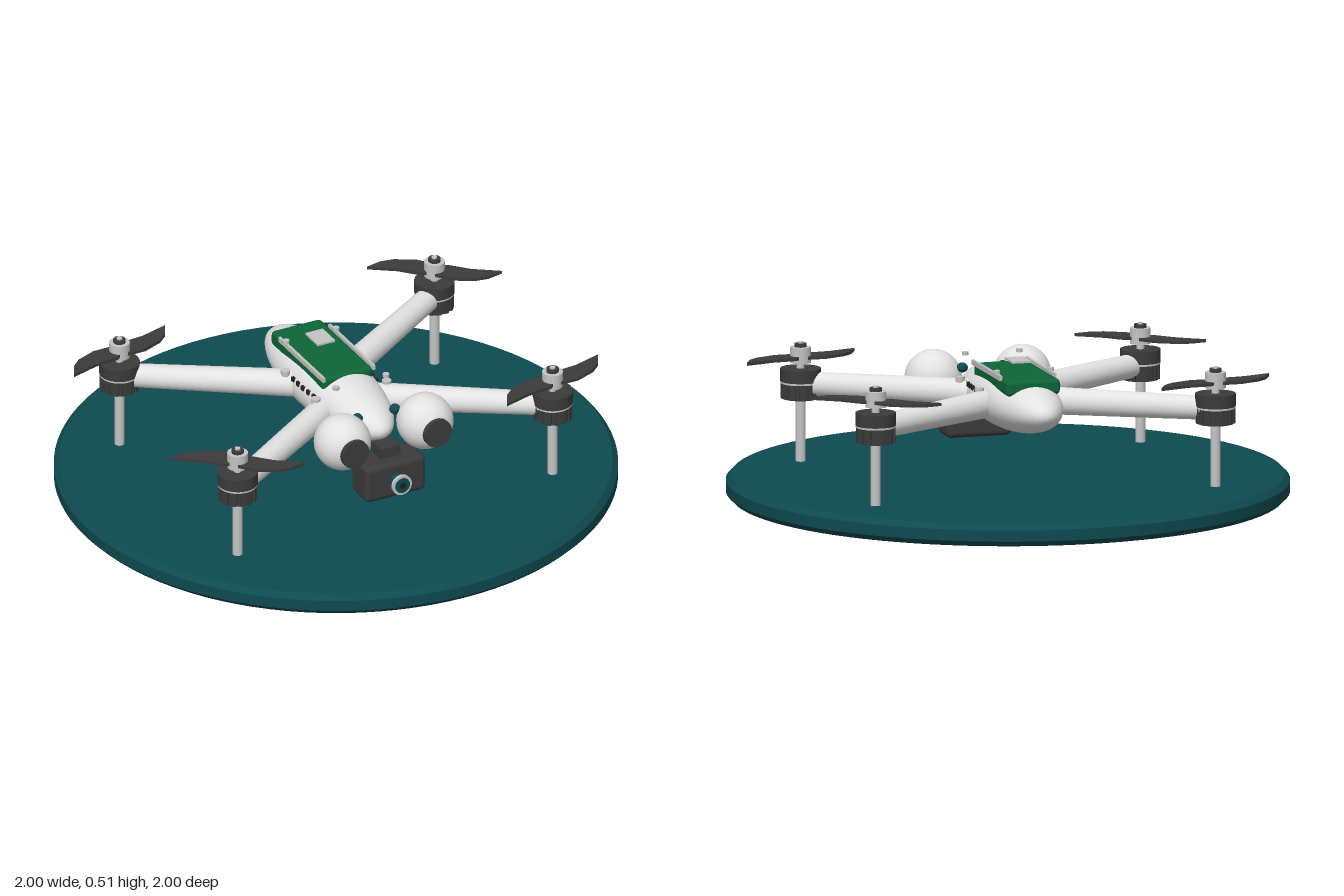
import * as THREE from 'three';
import { RoundedBoxGeometry } from 'three/addons/geometries/RoundedBoxGeometry.js';

const mat = (name, color) => {
  const m = new THREE.MeshStandardMaterial({ color });
  m.name = name;
  return m;
};

export function createModel() {
  const white = mat('shell white', 0xe2e2e2);
  const metal = mat('metal grey', 0xc4c4c4);
  const dark = mat('charcoal', 0x3b3b3b);
  const black = mat('vent black', 0x202224);
  const teal = mat('deep teal', 0x0d4a50);
  const green = mat('battery green', 0x0d6636);

  const root = new THREE.Group();
  root.name = 'quadcopterOnStand';

  const add = (parent, name, geo, material, x = 0, y = 0, z = 0) => {
    const m = new THREE.Mesh(geo, material);
    m.name = name;
    m.position.set(x, y, z);
    parent.add(m);
    return m;
  };
  const cyl = (r1, r2, h, n = 24) => new THREE.CylinderGeometry(r1, r2, h, n);
  const box = (w, h, d) => new THREE.BoxGeometry(w, h, d);

  // Chamfered landing disc, with each profile band kept sharp
  const rim = [[0, 0], [0.98, 0], [1, 0.02], [1, 0.06], [0.98, 0.08], [0, 0.08]];
  for (let i = 0; i < rim.length - 1; i++) {
    const pts = [rim[i], rim[i + 1]].map(p => new THREE.Vector2(...p));
    add(root, 'landingPad', new THREE.LatheGeometry(pts, 96), teal);
  }

  // Fuselage
  const hull = add(root, 'fuselage', new THREE.SphereGeometry(1, 48, 32), white, 0, 0.363, -0.05);
  hull.scale.set(0.137, 0.106, 0.42);

  // Battery, rails and the raised antenna plate
  add(root, 'battery', new RoundedBoxGeometry(0.2, 0.056, 0.405, 2, 0.015), green, 0, 0.442, -0.108);
  add(root, 'antennaPlate', box(0.07, 0.007, 0.095), metal, 0, 0.51, -0.12);
  for (const s of [-1, 1]) {
    add(root, 'batteryRail', box(0.01, 0.018, 0.34), metal, s * 0.1, 0.47, -0.07);
    for (const z of [0.19, -0.19]) {
      add(root, 'stud', cyl(0.012, 0.012, 0.012, 12), metal, s * 0.1, 0.485, z);
    }
    // Side vents
    for (let i = 0; i < 7; i++) {
      const z = 0.105 - i * 0.036;
      const x = 0.137 * Math.sqrt(1 - ((z + 0.05) / 0.42) ** 2 - (0.033 / 0.106) ** 2);
      add(root, 'vent', box(0.012, 0.016, 0.016), black, s * x, 0.396, z);
    }
    // Nose sensors
    const sensor = add(root, 'noseSensor', new THREE.SphereGeometry(0.02, 16, 12), teal, s * 0.075, 0.412, 0.305);
    sensor.scale.y = 0.9;
    // Round sensor pods with dark lenses
    add(root, 'sensorPod', new THREE.SphereGeometry(0.102, 36, 24), white, s * 0.165, 0.37, 0.363);
    const lens = add(root, 'podLens', cyl(0.054, 0.054, 0.05, 32), dark, s * 0.165, 0.367, 0.442);
    lens.rotation.x = Math.PI / 2;
  }

  // Slung camera
  const camera = new THREE.Group();
  camera.name = 'camera';
  camera.position.set(0, 0.22, 0.4);
  root.add(camera);
  add(camera, 'cameraBody', new RoundedBoxGeometry(0.24, 0.14, 0.125, 3, 0.02), dark);
  add(camera, 'cameraMount', box(0.08, 0.06, 0.07), dark, 0, 0.08, -0.02);
  for (const [name, r, h, m, z] of [
    ['lensBarrel', 0.028, 0.035, teal, 0.075],
    ['lensRing', 0.038, 0.013, metal, 0.1],
    ['lensGlass', 0.029, 0.008, teal, 0.105],
    ['lensPupil', 0.012, 0.004, black, 0.109]]) {
    add(camera, name, cyl(r, r, h), m, 0, 0, z).rotation.x = Math.PI / 2;
  }

  // Swept propeller blade outline; the second blade is a half turn
  const outline = [[0, 0.02], [0.03, 0.045], [0.12, 0.052], [0.225, 0.083],
    [0.197, 0.028], [0.16, -0.005], [0.085, -0.035], [0.02, -0.035], [0, -0.02]];
  const bladeGeo = new THREE.ExtrudeGeometry(
    new THREE.Shape(outline.map(p => new THREE.Vector2(...p))), { depth: 0.011, bevelEnabled: false });
  bladeGeo.rotateX(-Math.PI / 2);

  // Motor, propeller and leg at the end of an arm
  function rotor(x, z, turn) {
    const g = new THREE.Group();
    g.name = 'rotor';
    g.position.set(x, 0, z);
    root.add(g);
    const stack = [
      ['leg', 0.018, 0.24, metal, 0.195],
      ['motorBase', 0.064, 0.058, dark, 0.335],
      ['motorRing', 0.071, 0.008, metal, 0.366],
      ['motorBell', 0.072, 0.046, dark, 0.392],
      ['shaft', 0.014, 0.03, metal, 0.425],
      ['hub', 0.037, 0.057, metal, 0.463],
      ['nut', 0.022, 0.014, dark, 0.497],
      ['shaftTip', 0.01, 0.01, metal, 0.505]];
    for (const [name, r, h, m, y] of stack) add(g, name, cyl(r, r, h, 28), m, 0, y, 0);
    for (let i = 0; i < 14; i++) {
      const a = i / 14 * Math.PI * 2;
      const rib = add(g, 'motorRib', box(0.012, 0.054, 0.016), dark, Math.cos(a) * 0.064, 0.335, Math.sin(a) * 0.064);
      rib.rotation.y = -a;
    }
    const prop = new THREE.Group();
    prop.name = 'propeller';
    prop.position.y = 0.449;
    prop.rotation.y = turn;
    g.add(prop);
    add(prop, 'blade', bladeGeo, dark);
    add(prop, 'blade', bladeGeo, dark).rotation.y = Math.PI;
  }

  // Four tapered arms, each with its bolt and rotor
  for (const sx of [-1, 1]) {
    for (const sz of [-1, 1]) {
      const outer = new THREE.Vector3(sx * 0.63, 0.36, sz * 0.45);
      const inner = new THREE.Vector3(sx * 0.09, 0.358, sz * 0.1);
      const dir = outer.clone().sub(inner);
      const mid = outer.clone().add(inner).multiplyScalar(0.5);
      const arm = add(root, 'arm', cyl(0.042, 0.05, dir.length(), 28), white, mid.x, mid.y, mid.z);
      arm.quaternion.setFromUnitVectors(new THREE.Vector3(0, 1, 0), dir.normalize());
      add(root, 'armBolt', cyl(0.017, 0.017, 0.02, 14), metal, sx * 0.142, 0.407, sz * 0.115);
      rotor(outer.x, outer.z, sx === sz ? 0 : -0.9);
    }
  }
  return root;
}
